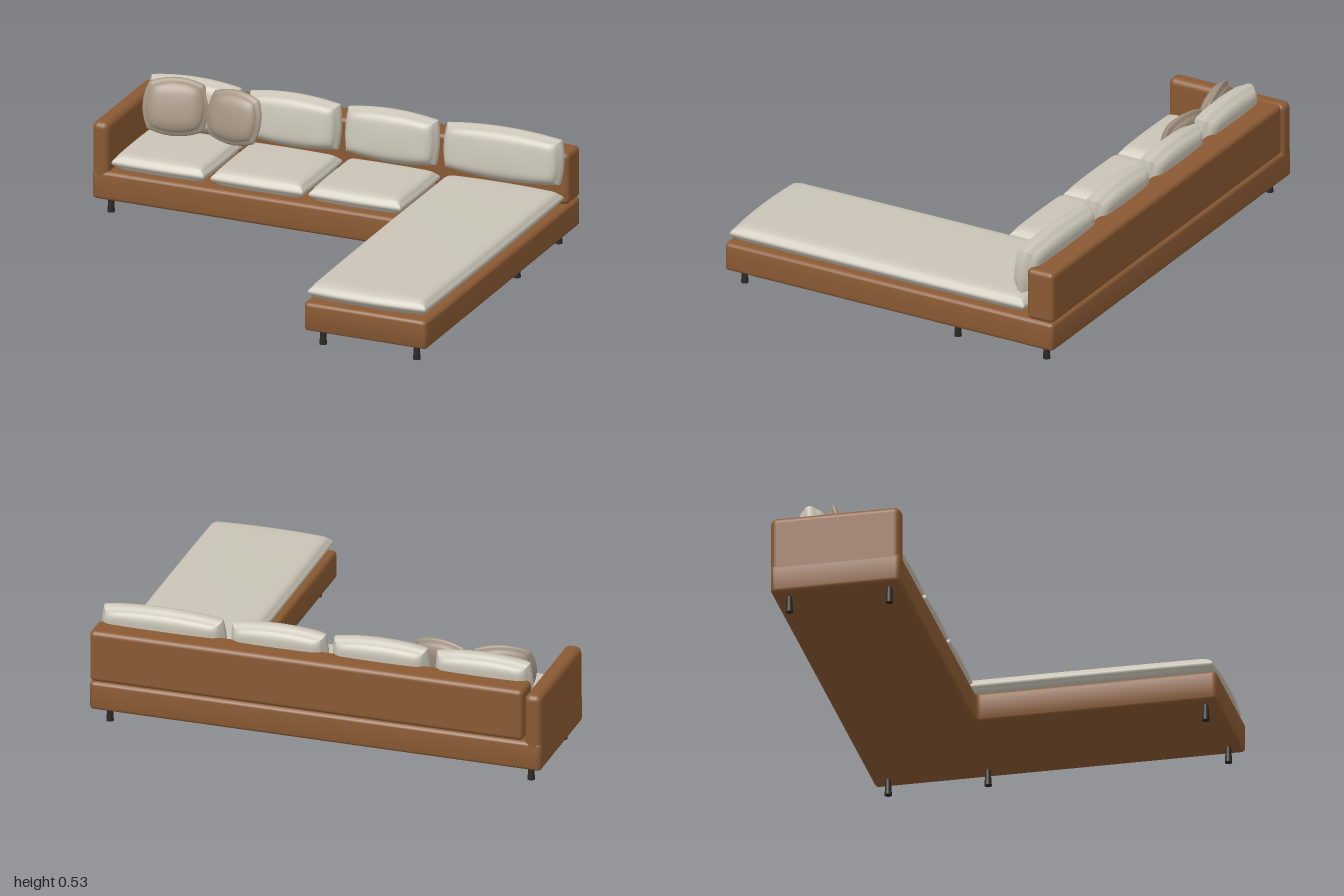
import * as THREE from 'three';
import { toCreasedNormals, mergeVertices } from 'three/addons/utils/BufferGeometryUtils.js';
import { RoundedBoxGeometry } from 'three/addons/geometries/RoundedBoxGeometry.js';

const paint = (color) => new THREE.MeshStandardMaterial({ color });
const leather = paint(0x8a5a33);
const linen = paint(0xc9c4b6);
const taupe = paint(0xa19280);
const metal = paint(0x2b2826);

// Soft cushion lying in the XY plane: full in the middle, thinner at a rounded rim, bowed outline
function cushionGeometry(w, h, t, { edge = 0.5, r = 0.05, bowX = 0, bowY = 0, crown = 0.1 }) {
  const geo = new THREE.BoxGeometry(2, 2, 2, 20, 20, 6);
  geo.deleteAttribute('uv');
  geo.deleteAttribute('normal');
  const p = geo.attributes.position;
  const falloff = (u, half) => {
    const s = THREE.MathUtils.clamp((Math.abs(u) * half - (half - r)) / r, 0, 1);
    return Math.sqrt(1 - s * s);
  };
  for (let i = 0; i < p.count; i++) {
    // Cluster the rows of vertices towards the rim
    const u = Math.sin(p.getX(i) * Math.PI / 2);
    const v = Math.sin(p.getY(i) * Math.PI / 2);
    const k = p.getZ(i);
    const full = edge + (1 - edge) * falloff(u, w / 2) * falloff(v, h / 2);
    const dome = 1 - crown + crown * (1 - u * u) * (1 - v * v);
    const tuck = r * 0.3 * k * k;
    p.setXYZ(i,
      u * (w / 2 - tuck) * (1 - bowX * v * v),
      v * (h / 2 - tuck) * (1 - bowY * u * u),
      k * t / 2 * full * dome);
  }
  const smooth = mergeVertices(geo, 1e-5);
  smooth.computeVertexNormals();
  return smooth;
}

// Plan outline with rounded corners
function roundedOutline(points, r) {
  const shape = new THREE.Shape();
  const corners = points.map(([x, y]) => new THREE.Vector2(x, y));
  corners.forEach((c, i) => {
    const prev = corners[(i + corners.length - 1) % corners.length];
    const next = corners[(i + 1) % corners.length];
    const a = c.clone().add(prev.clone().sub(c).setLength(r));
    const b = c.clone().add(next.clone().sub(c).setLength(r));
    if (i === 0) shape.moveTo(a.x, a.y);
    else shape.lineTo(a.x, a.y);
    shape.quadraticCurveTo(c.x, c.y, b.x, b.y);
  });
  shape.closePath();
  return shape;
}

export function createModel() {
  const group = new THREE.Group();
  const add = (name, geo, mat, x = 0, y = 0, z = 0) => {
    const mesh = new THREE.Mesh(geo, mat);
    mesh.name = name;
    mesh.position.set(x, y, z);
    group.add(mesh);
    return mesh;
  };
  // Rounded block given by its limits on each axis
  const block = (name, [x0, x1], [y0, y1], [z0, z1], r) =>
    add(name, new RoundedBoxGeometry(x1 - x0, y1 - y0, z1 - z0, 4, r), leather,
      (x0 + x1) / 2, (y0 + y1) / 2, (z0 + z1) / 2);

  // L-shaped base
  const bevel = 0.016;
  const outline = roundedOutline(
    [[-1, 0.24], [0.435, 0.24], [0.435, -0.795], [1, -0.795], [1, 0.8], [-1, 0.8]], 0.022);
  const base = new THREE.ExtrudeGeometry(outline, {
    depth: 0.127 - 2 * bevel, bevelThickness: bevel, bevelSize: bevel,
    bevelOffset: -bevel, bevelSegments: 4, curveSegments: 5,
  });
  base.rotateX(-Math.PI / 2);
  add('base', toCreasedNormals(base, 0.6), leather, 0, 0.07 + bevel, 0);

  // Armrest and backrest
  block('armrest', [-1, -0.925], [0.15, 0.415], [-0.8, -0.24], 0.028);
  block('backrest', [-0.92, 1], [0.198, 0.43], [-0.8, -0.67], 0.022);

  // Legs
  const leg = new THREE.CylinderGeometry(0.011, 0.016, 0.075, 16);
  const spots = [[-0.935, -0.73], [-0.935, -0.3], [0.93, -0.73], [0.93, -0.3], [0.93, 0.735], [0.5, 0.735]];
  for (const [x, z] of spots) add('leg', leg, metal, x, 0.0375, z);

  // Seat cushions, the last one being the long chaise, each with a back cushion
  const bays = [[-0.915, -0.485, -0.245], [-0.46, -0.03, -0.245], [-0.01, 0.42, -0.245], [0.442, 0.992, 0.79]];
  bays.forEach(([x0, x1, front], i) => {
    const w = x1 - x0, x = (x0 + x1) / 2, rear = -0.665;
    const chaise = i === 3;
    const seat = add(chaise ? 'chaiseCushion' : 'seatCushion',
      cushionGeometry(w, front - rear, 0.084, {
        edge: 0.45, r: 0.04, bowX: 0.015, bowY: chaise ? 0.02 : 0.025, crown: 0.12,
      }), linen, x, 0.24, (front + rear) / 2);
    seat.rotation.x = -Math.PI / 2;

    const back = add('backCushion',
      cushionGeometry(w, 0.232, 0.125, { edge: 0.5, r: 0.045, bowX: 0.045, bowY: 0.16, crown: 0.12 }),
      linen, x, 0.4, -0.644);
    back.rotation.x = -0.12;
  });

  // Throw pillows leaning on the back cushions
  const pillows = [
    { w: 0.285, h: 0.25, x: -0.752, y: 0.41, z: -0.556, yaw: 0.22, tilt: -0.28 },
    { w: 0.265, h: 0.235, x: -0.485, y: 0.403, z: -0.558, yaw: -0.14, tilt: -0.24 },
  ];
  for (const { w, h, x, y, z, yaw, tilt } of pillows) {
    const pillow = add('throwPillow',
      cushionGeometry(w, h, 0.085, { edge: 0.4, r: 0.06, bowX: 0.17, bowY: 0.2, crown: 0.2 }),
      taupe, x, y, z);
    pillow.rotation.set(tilt, yaw, 0, 'YXZ');
  }

  return group;
}
